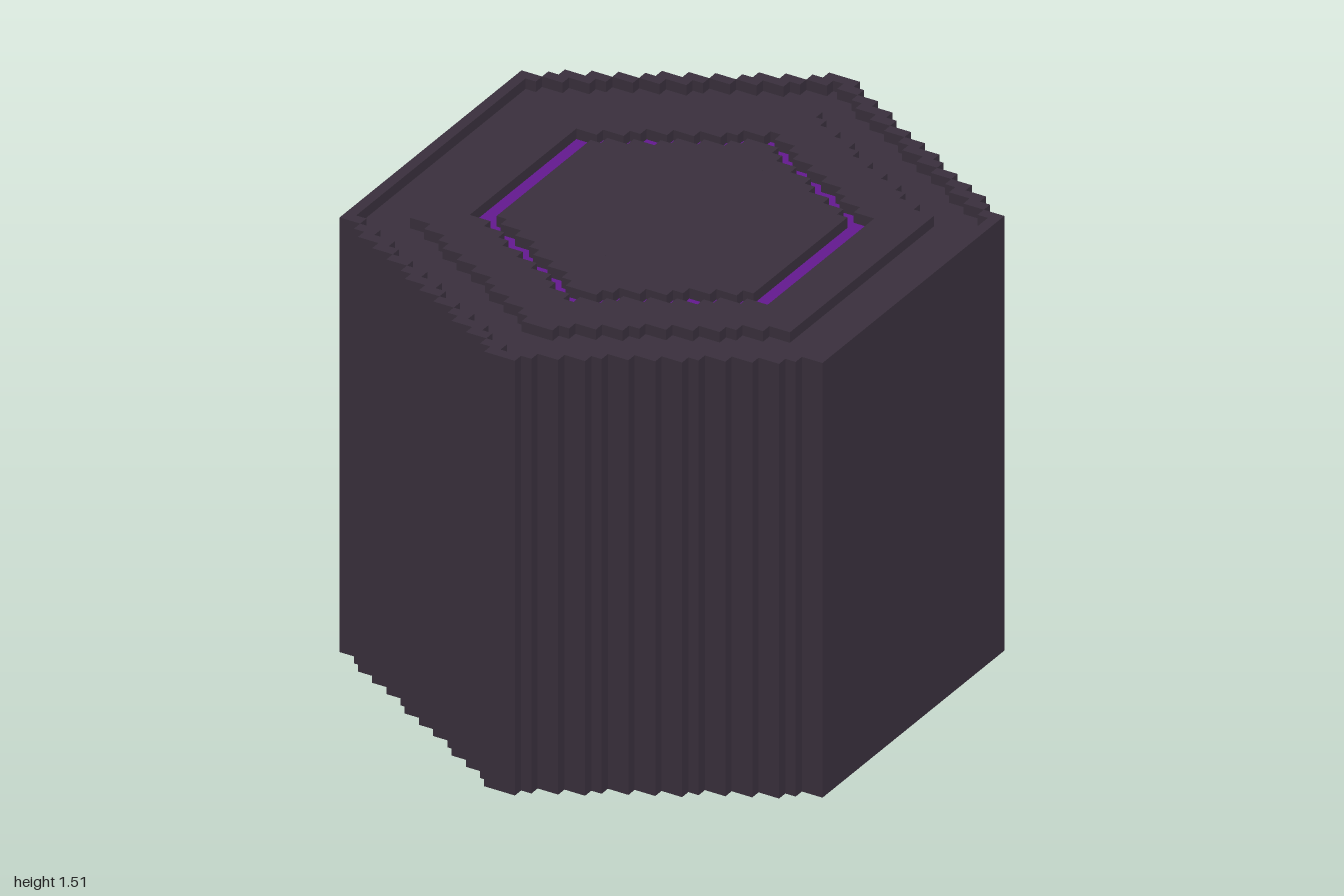
import * as THREE from 'three';

const V = 2 / 55;          // grid cell
const TOP = 1.51;
const LOW = TOP - V;       // floor of the recesses
const SLOPE = 1 / Math.sqrt(3);

// Stepped hexagons on the grid: tip reach and flat-side reach, in cells
const HEX = {
  outer: { tip: 27.6, flat: 23 },
  rimInner: { tip: 26.3, flat: 22 },
  ringOuter: { tip: 21.6, flat: 18 },
  grooveOuter: { tip: 16.3, flat: 14 },
  centre: { tip: 14.6, flat: 12 },
};

// Half width of a hexagon in row k (0 when the row is outside it)
function halfWidth(hex, k) {
  const room = hex.tip - Math.abs(k);
  if (room < 0) return 0;
  return (Math.min(hex.flat, Math.floor(room / SLOPE)) + 0.5) * V;
}

function addQuad(out, a, b, c, d, flip) {
  const p = flip ? [a, c, b, a, d, c] : [a, b, c, a, c, d];
  for (const v of p) out.push(...v);
}

function makeMesh(name, positions, color) {
  const geometry = new THREE.BufferGeometry();
  geometry.setAttribute('position', new THREE.Float32BufferAttribute(positions, 3));
  geometry.computeVertexNormals();
  const material = new THREE.MeshStandardMaterial({ color, flatShading: true, side: THREE.DoubleSide });
  const mesh = new THREE.Mesh(geometry, material);
  mesh.name = name;
  return mesh;
}

// Vertical stepped wall along a hexagon's edge
function wall(name, hex, y0, y1, inward, color) {
  const out = [];
  for (let k = -28; k <= 27; k++) {
    const w = halfWidth(hex, k), next = halfWidth(hex, k + 1);
    const z0 = (k - 0.5) * V, z1 = (k + 0.5) * V;
    for (const s of [1, -1]) {
      const flip = (s < 0) !== inward;
      if (w > 0) {
        const x = s * w;
        addQuad(out, [x, y0, z0], [x, y1, z0], [x, y1, z1], [x, y0, z1], flip);
      }
      if (w !== next) {
        const xa = s * next, xb = s * w;
        addQuad(out, [xa, y0, z1], [xb, y0, z1], [xb, y1, z1], [xa, y1, z1], flip);
      }
    }
  }
  return makeMesh(name, out, color);
}

// Level surface between two hexagons, row by row
function level(name, hex, hole, y, color) {
  const out = [];
  for (let k = -27; k <= 27; k++) {
    const w = halfWidth(hex, k), h = hole ? halfWidth(hole, k) : 0;
    const z0 = (k - 0.5) * V, z1 = (k + 0.5) * V;
    if (w <= h) continue;
    const spans = h > 0 ? [[-w, -h], [h, w]] : [[-w, w]];
    for (const [x0, x1] of spans) {
      addQuad(out, [x0, y, z0], [x0, y, z1], [x1, y, z1], [x1, y, z0], false);
    }
  }
  return makeMesh(name, out, color);
}

export function createModel() {
  const dark = 0x3a303d, purple = 0x641a91;
  const group = new THREE.Group();
  group.name = 'steppedHexagonalColumn';
  group.add(
    // Open-bottomed body and its raised rim
    wall('bodyWall', HEX.outer, 0, TOP, false, dark),
    level('rimTop', HEX.outer, HEX.rimInner, TOP, dark),
    wall('rimInnerWall', HEX.rimInner, LOW, TOP, true, dark),
    // Sunken channel
    level('channelFloor', HEX.rimInner, HEX.ringOuter, LOW, dark),
    // Raised ring
    wall('ringOuterWall', HEX.ringOuter, LOW, TOP, false, dark),
    level('ringTop', HEX.ringOuter, HEX.grooveOuter, TOP, dark),
    wall('ringInnerWall', HEX.grooveOuter, LOW, TOP, true, dark),
    // Coloured groove around the centre plate
    level('grooveFloor', HEX.grooveOuter, HEX.centre, LOW, purple),
    wall('centreWall', HEX.centre, LOW, TOP, false, dark),
    level('centreTop', HEX.centre, null, TOP, dark),
  );
  return group;
}
